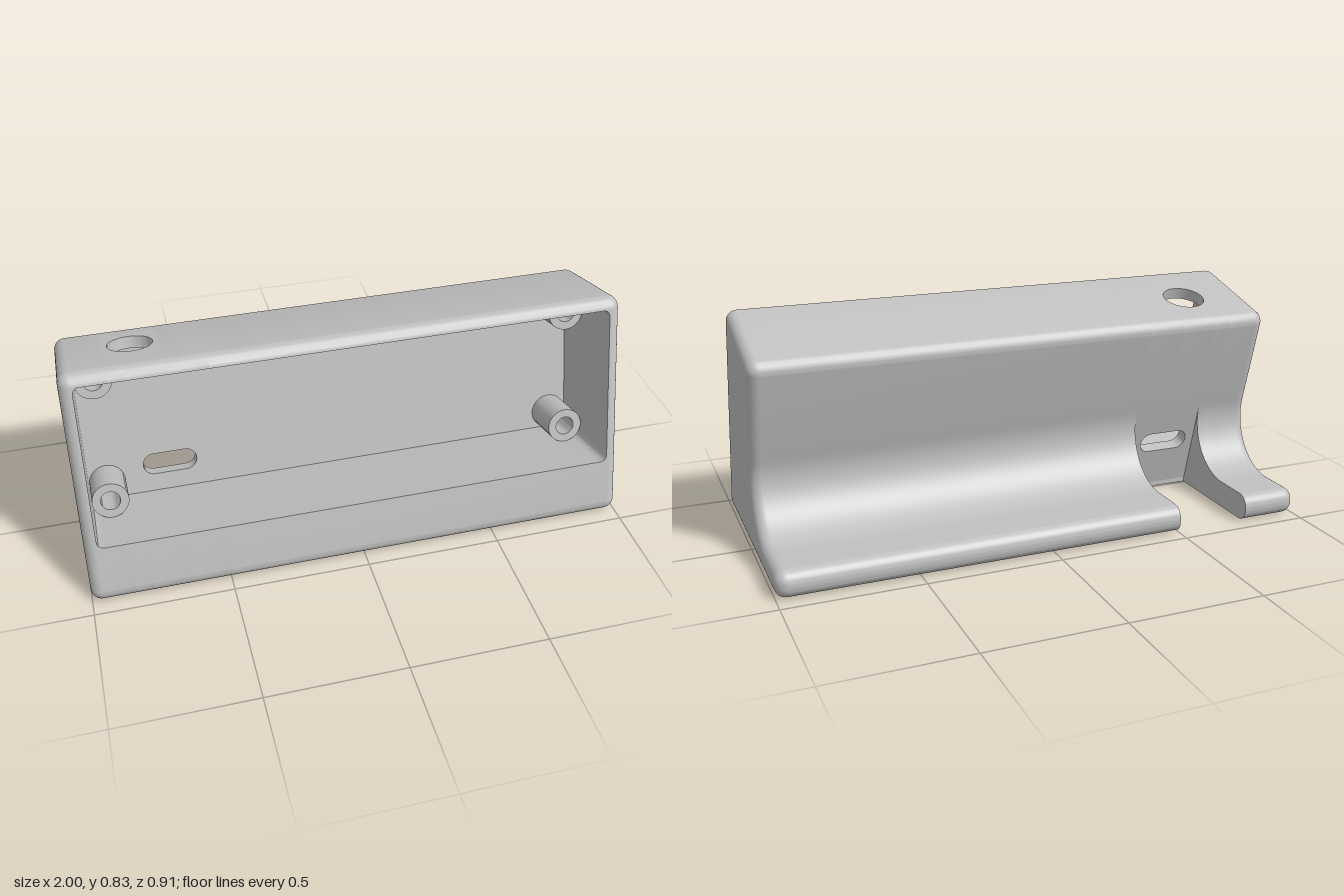
import * as THREE from 'three';
import { toCreasedNormals } from 'three/addons/utils/BufferGeometryUtils.js';

const TILT = Math.PI / 12, C = Math.cos(TILT), S = Math.sin(TILT);
const FRONT = 0.467;            // z where the tilted front plane meets the ground
const DEPTH = 0.442, TOP = 0.872; // housing depth and height along the tilt
const POCKET = 0.39, LOW = 0.228, HIGH = 0.828, SIDE = 0.955; // pocket limits
const FILLET = 0.04, FLAT = 0.405, RECESS = 0.02;

// Profile point [-z, y, radius] from depth d behind the front plane and height u along it
const T = (d, u, r = 0) => [-FRONT + d * C + u * S, u * C - d * S, r];

// Polygon with each corner rounded by its own radius
function roundPoly(corners) {
  const out = [], n = corners.length;
  corners.forEach(([x, y, r = 0], i) => {
    const p = new THREE.Vector2(x, y);
    if (!r) return out.push(p);
    const a = new THREE.Vector2(...corners[(i + n - 1) % n].slice(0, 2)).sub(p).normalize();
    const b = new THREE.Vector2(...corners[(i + 1) % n].slice(0, 2)).sub(p).normalize();
    const half = Math.acos(a.dot(b)) / 2, len = r / Math.tan(half);
    const c = a.clone().add(b).normalize().multiplyScalar(r / Math.sin(half)).add(p);
    const s = p.clone().addScaledVector(a, len).sub(c), e = p.clone().addScaledVector(b, len).sub(c);
    const a0 = s.angle();
    let da = e.angle() - a0;
    da = Math.atan2(Math.sin(da), Math.cos(da));
    const steps = r > 0.1 ? 20 : 10;
    for (let k = 0; k <= steps; k++) {
      const t = a0 + da * k / steps;
      out.push(new THREE.Vector2(c.x + r * Math.cos(t), c.y + r * Math.sin(t)));
    }
  });
  return out;
}

// Profile extruded along x from x0 to x1
function slice(points, x0, x1) {
  const g = new THREE.ExtrudeGeometry(new THREE.Shape(points), { depth: x1 - x0, bevelEnabled: false });
  g.rotateY(Math.PI / 2).translate(x0, 0, 0);
  return toCreasedNormals(g, 0.5);
}

function plate(shape, depth) {
  return toCreasedNormals(new THREE.ExtrudeGeometry(shape, { depth, bevelEnabled: false, curveSegments: 32 }), 0.5);
}

function rectShape(x0, x1, y0, y1) {
  return new THREE.Shape([[x0, y0], [x1, y0], [x1, y1], [x0, y1]].map(p => new THREE.Vector2(...p)));
}

function circlePath(x, y, r) {
  return new THREE.Path().absarc(x, y, r, 0, Math.PI * 2, true);
}

// Rounded rim of the end: inset rings with exact normals
function filletRim(pts) {
  const n = pts.length, steps = 8, pos = [], nor = [], idx = [];
  const inward = pts.map((p, i) => {
    const a = p.clone().sub(pts[(i + n - 1) % n]).normalize();
    const b = pts[(i + 1) % n].clone().sub(p).normalize();
    const t = a.add(b).normalize();
    return new THREE.Vector2(t.y, -t.x);
  });
  const inset = d => pts.map((p, i) => p.clone().addScaledVector(inward[i], d));
  for (let j = 0; j <= steps; j++) {
    const t = j / steps * Math.PI / 2, co = Math.cos(t), si = Math.sin(t);
    inset(FILLET * (1 - co)).forEach((p, i) => {
      pos.push(1 - FILLET + FILLET * si, p.y, -p.x);
      nor.push(si, -inward[i].y * co, inward[i].x * co);
      if (j === steps) return;
      const a = j * n + i, b = j * n + (i + 1) % n;
      idx.push(a, a + n, b, b, a + n, b + n);
    });
  }
  const g = new THREE.BufferGeometry();
  g.setAttribute('position', new THREE.Float32BufferAttribute(pos, 3));
  g.setAttribute('normal', new THREE.Float32BufferAttribute(nor, 3));
  g.setIndex(idx);
  return { rim: g, face: inset(FILLET) };
}

export function createModel() {
  const model = new THREE.Group();
  model.name = 'tiltedEnclosure';
  const grey = new THREE.MeshStandardMaterial({ color: 0xc0c0c0 });
  grey.name = 'light grey plastic';
  const add = (parent, name, geo) => {
    const m = new THREE.Mesh(geo, grey);
    m.name = name;
    parent.add(m);
    return m;
  };

  // Cross-section corners
  const R = 0.045;
  const toe = [-FRONT, 0, R], topFront = T(0, TOP, R), topBack = T(DEPTH, TOP, R);
  const cove = [-FRONT + (DEPTH + 0.1 * S) / C, 0.1, 0.2];
  const tail = [[0.454, 0.1, R], [0.454, 0, R]];
  const notchZ = y => -FRONT + (DEPTH + y * S) / C;
  const underside = [[-FLAT, RECESS], [-FLAT, 0]];

  const outline = roundPoly([toe, topFront, topBack, cove, ...tail]);
  const base = roundPoly([toe, T(0, LOW), T(POCKET, LOW), T(POCKET, 0.5), T(DEPTH, 0.5), cove, ...tail,
    [FLAT, 0], [FLAT, RECESS], ...underside]);
  const notchedBase = roundPoly([toe, T(0, LOW), T(DEPTH, LOW), [notchZ(RECESS), RECESS], ...underside]);
  const lid = roundPoly([T(POCKET, 0.5), T(POCKET, HIGH), T(0, HIGH), topFront, topBack, T(DEPTH, 0.5)]);
  const lidFront = roundPoly([T(0, HIGH), topFront, T(0.12, TOP), T(0.12, HIGH)]);
  const lidBack = roundPoly([T(POCKET, 0.5), T(POCKET, HIGH), T(0.36, HIGH), T(0.36, TOP), topBack, T(DEPTH, 0.5)]);

  // Housing, in slices around the cable notch and the top hole
  const body = new THREE.Group();
  body.name = 'housing';
  model.add(body);
  [
    [-SIDE, -0.84, base, lid],
    [-0.84, -0.78, base, lidFront, lidBack],
    [-0.78, -0.64, notchedBase, lidFront, lidBack],
    [-0.64, -0.5, notchedBase, lid],
    [-0.5, SIDE, base, lid],
  ].forEach(([x0, x1, ...parts]) => parts.forEach(p => add(body, 'housingSlice', slice(p, x0, x1))));

  // Side walls with rounded rims, mirrored
  const { rim, face } = filletRim(outline);
  const wall = slice(outline, SIDE, 1 - FILLET);
  const cap = new THREE.ShapeGeometry(new THREE.Shape(face)).rotateY(Math.PI / 2).translate(1, 0, 0);
  for (const side of [1, -1]) {
    const end = new THREE.Group();
    end.name = side > 0 ? 'leftSideWall' : 'rightSideWall';
    add(end, 'wall', wall);
    add(end, 'roundedRim', rim);
    add(end, 'outerFace', cap);
    end.scale.x = side;
    model.add(end);
  }

  // Bottom plate with the notch and four foot recesses
  const nz = notchZ(RECESS / 2);
  const bottom = new THREE.Shape([
    [-SIDE, -FLAT], [SIDE, -FLAT], [SIDE, FLAT], [-0.5, FLAT], [-0.5, nz], [-0.78, nz], [-0.78, FLAT], [-SIDE, FLAT],
  ].map(p => new THREE.Vector2(...p)));
  for (const x of [-0.88, 0.88]) for (const z of [0.325, -0.315]) bottom.holes.push(circlePath(x, -z, 0.066));
  add(model, 'bottomPlate', plate(bottom, RECESS).rotateX(-Math.PI / 2));

  // Parts aligned with the tilted front
  const tilted = new THREE.Group();
  tilted.name = 'tiltedParts';
  tilted.position.z = FRONT;
  tilted.rotation.x = -TILT;
  model.add(tilted);

  // Top panel with round hole
  const top = rectShape(-0.84, -0.64, 0.12, 0.36);
  top.holes.push(circlePath(-0.74, 0.244, 0.08));
  add(tilted, 'topHolePanel', plate(top, TOP - HIGH).rotateX(-Math.PI / 2).translate(0, HIGH, 0));

  // Back panel with cable slot
  const back = rectShape(-0.78, -0.5, LOW, 0.5);
  const slot = new THREE.Path();
  slot.absarc(-0.585, 0.337, 0.041, Math.PI / 2, -Math.PI / 2, true);
  slot.absarc(-0.705, 0.337, 0.041, -Math.PI / 2, -Math.PI * 1.5, true);
  slot.closePath();
  back.holes.push(slot);
  add(tilted, 'cableSlotPanel', plate(back, DEPTH - POCKET).translate(0, 0, -DEPTH));

  // Screw posts and rounded pocket corners
  const ring = new THREE.Shape().absarc(0, 0, 0.067, 0, Math.PI * 2, false);
  ring.holes.push(circlePath(0, 0, 0.036));
  const post = plate(ring, 0.166);
  for (const sx of [-1, 1]) for (const sy of [-1, 1]) {
    add(tilted, 'screwPost', post).position.set(sx * 0.885, sy > 0 ? HIGH - 0.067 : LOW + 0.067, -POCKET);
    const r = 0.03, corner = new THREE.Shape();
    corner.moveTo(0, 0);
    corner.lineTo(-sx * r, 0);
    corner.quadraticCurveTo(0, 0, 0, -sy * r);
    corner.closePath();
    add(tilted, 'pocketCorner', plate(corner, POCKET)).position.set(sx * SIDE, sy > 0 ? HIGH : LOW, -POCKET);
  }
  return model;
}
